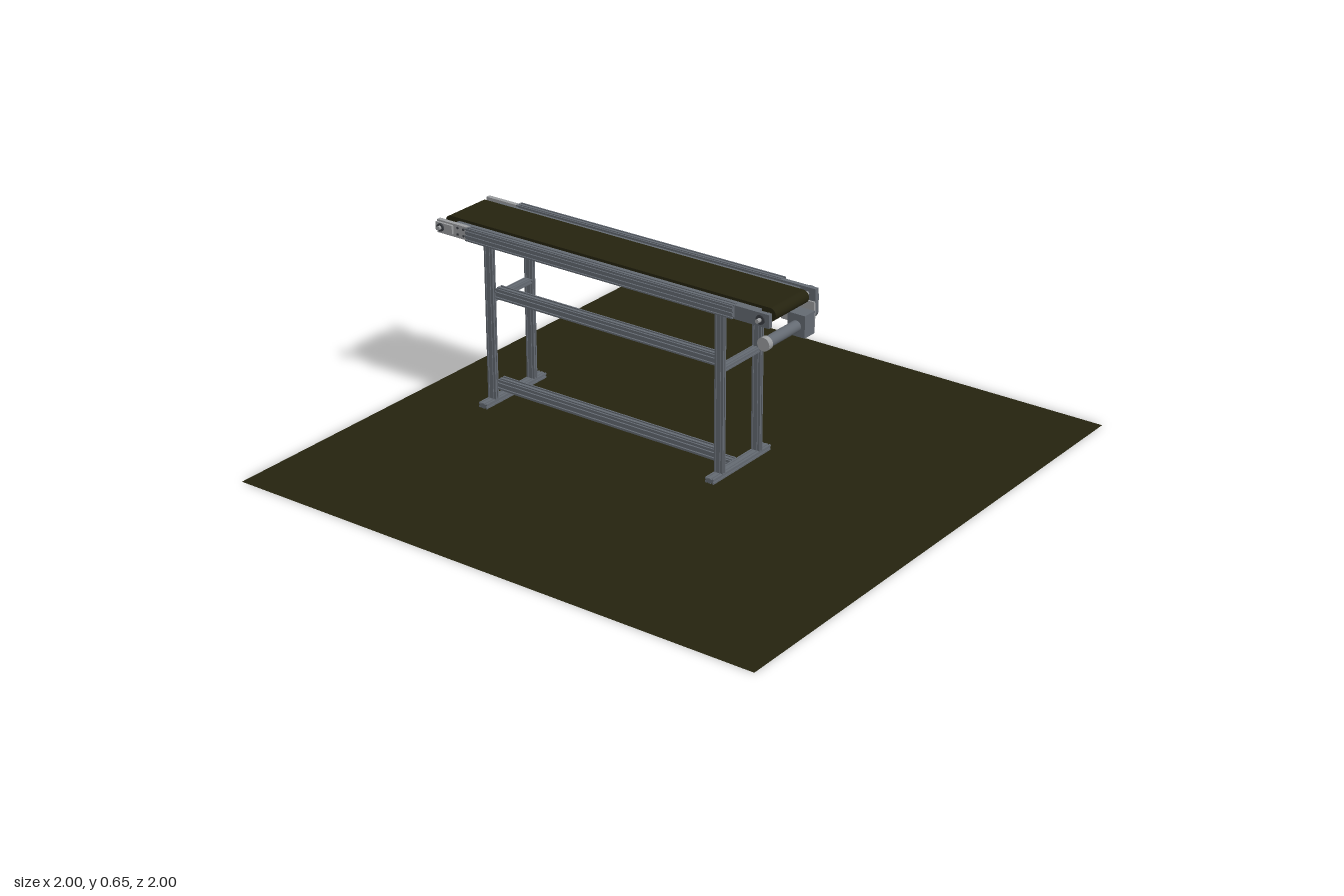
import * as THREE from 'three';

const mat = (name, color, side = THREE.FrontSide) => {
  const m = new THREE.MeshStandardMaterial({ color, side });
  m.name = name;
  return m;
};

export function createModel() {
  const model = new THREE.Group();
  model.name = 'beltConveyor';
  const olive = mat('darkOlive', 0x25230f, THREE.DoubleSide);
  const steel = mat('frameGrey', 0x646a72);
  const light = mat('plateGrey', 0x9c9ea0);
  const dark = mat('darkGrey', 0x3b3e43);

  const add = (name, geo, m, x = 0, y = 0, z = 0, parent = model) => {
    const mesh = new THREE.Mesh(geo, m);
    mesh.name = name;
    mesh.position.set(x, y, z);
    parent.add(mesh);
    return mesh;
  };
  // Box given by its limits on each axis
  const box = (name, m, [x0, x1], [y0, y1], [z0, z1]) =>
    add(name, new THREE.BoxGeometry(x1 - x0, y1 - y0, z1 - z0), m, (x0 + x1) / 2, (y0 + y1) / 2, (z0 + z1) / 2);
  const rodX = (name, m, r, x0, x1, y, z, sides = 20) =>
    add(name, new THREE.CylinderGeometry(r, r, x1 - x0, sides).rotateZ(Math.PI / 2), m, (x0 + x1) / 2, y, z);

  // Slotted aluminium profile, w by h, extruded along z and centred
  const slotted = (w, h, len, nw, nh, gap = 0.005, depth = 0.004, open = false) => {
    const pts = [];
    const corners = [[-w / 2, -h / 2], [w / 2, -h / 2], [w / 2, h / 2], [-w / 2, h / 2]];
    corners.forEach(([ax, ay], i) => {
      const [bx, by] = corners[(i + 1) % 4];
      const L = Math.hypot(bx - ax, by - ay), dx = (bx - ax) / L, dy = (by - ay) / L;
      const n = i % 2 ? nh : nw;
      const put = (t, d) => pts.push(new THREE.Vector2(ax + dx * t - dy * d, ay + dy * t + dx * d));
      put(0, 0);
      for (let k = 0; k < n; k++) {
        const c = L * (k + 0.5) / n;
        put(c - gap / 2, 0); put(c - gap / 2, depth); put(c + gap / 2, depth); put(c + gap / 2, 0);
      }
    });
    const geo = new THREE.ExtrudeGeometry(new THREE.Shape(pts), { depth: len, bevelEnabled: false });
    geo.translate(0, 0, -len / 2);
    if (open) geo.setDrawRange(geo.groups[1].start, geo.groups[1].count);
    geo.clearGroups();
    return geo;
  };

  // Rounded loop in the z-y plane, extruded across x
  const capsule = (halfLen, r, width) => {
    const s = new THREE.Shape();
    s.absarc(halfLen, 0, r, -Math.PI / 2, Math.PI / 2);
    s.absarc(-halfLen, 0, r, Math.PI / 2, Math.PI * 1.5);
    s.closePath();
    const geo = new THREE.ExtrudeGeometry(s, { depth: width, bevelEnabled: false, curveSegments: 12 });
    return geo.translate(0, 0, -width / 2).rotateY(-Math.PI / 2);
  };

  // Floor sheet
  add('floor', new THREE.PlaneGeometry(2, 2).rotateX(-Math.PI / 2), olive);

  // Belt
  add('belt', capsule(0.6425, 0.0225, 0.18), olive, 0, 0.628, -0.235);

  // Leg frames with feet and crossbars
  for (const z of [0.23, -0.705]) {
    for (const s of [-1, 1])
      add('leg', slotted(0.016, 0.034, 0.565, 1, 2, 0.005, 0.003).rotateX(Math.PI / 2), steel, s * 0.102, 0.3225, z);
    add('foot', slotted(0.034, 0.018, 0.316, 2, 1, 0.005, 0.003, true).rotateY(Math.PI / 2), steel, 0, 0.031, z);
    add('crossbar', slotted(0.03, 0.016, 0.19, 2, 1, 0.005, 0.003).rotateY(Math.PI / 2), steel, 0, 0.4, z);
  }

  // Lengthwise ties between the leg frames
  for (const y of [0.422, 0.092])
    add('sideTie', slotted(0.036, 0.036, 0.9, 2, 2, 0.007, 0.006), steel, -0.08, y, -0.24);
  add('floorTie', slotted(0.034, 0.017, 0.9, 2, 1, 0.005, 0.003), steel, 0, 0.031, -0.24);

  for (const s of [-1, 1]) {
    const span = (a, b) => (s > 0 ? [a, b] : [-b, -a]);
    // Side rails of the belt bed
    add('sideRail', slotted(0.03, 0.044, 1.075, 2, 3, 0.005, 0.005), steel, s * 0.131, 0.627, -0.2325);
    box('innerRail', steel, span(0.092, 0.116), [0.61, 0.642], [-0.84, 0.38]);

    // Tail end plates, tensioner and bearing
    box('tailPlate', light, span(0.118, 0.134), [0.602, 0.648], [-0.9, -0.765]);
    box('tailSlider', light, span(0.134, 0.142), [0.612, 0.642], [-0.9, -0.83]);
    rodX('tailBearing', dark, 0.014, ...span(0.142, 0.148), 0.627, -0.877);
    rodX('tailShaft', light, 0.007, ...span(0.088, 0.156), 0.627, -0.877);
    for (const z of [-0.785, -0.81])
      for (const y of [0.615, 0.638])
        rodX('plateBolt', dark, 0.004, ...span(0.134, 0.138), y, z, 8);

    // Drive end plates and shaft
    box('drivePlate', steel, span(0.118, 0.134), [0.602, 0.648], [0.3, 0.435]);
    rodX('driveBearing', dark, 0.016, ...span(0.134, 0.14), 0.627, 0.405);
    rodX('driveShaft', light, 0.007, ...span(0.088, 0.156), 0.627, 0.405);
  }

  // Gear motor slung beneath the drive end
  box('motorBracket', light, [0.112, 0.12], [0.52, 0.606], [0.31, 0.435]);
  for (const z of [0.325, 0.35])
    for (const y of [0.545, 0.575])
      rodX('bracketBolt', dark, 0.004, 0.12, 0.124, y, z, 8);
  box('gearbox', steel, [0.058, 0.112], [0.502, 0.578], [0.372, 0.438]);
  rodX('motorBody', steel, 0.019, -0.105, 0.058, 0.537, 0.405, 24);
  rodX('motorCap', light, 0.023, -0.12, -0.1, 0.537, 0.405, 24);

  // Drive guard over the two pulleys
  add('driveGuard', capsule(0.027, 0.026, 0.026).rotateX(Math.PI / 2), steel, 0.135, 0.59, 0.402);
  add('guardFace', capsule(0.024, 0.02, 0.006).rotateX(Math.PI / 2), dark, 0.15, 0.59, 0.402);

  return model;
}
